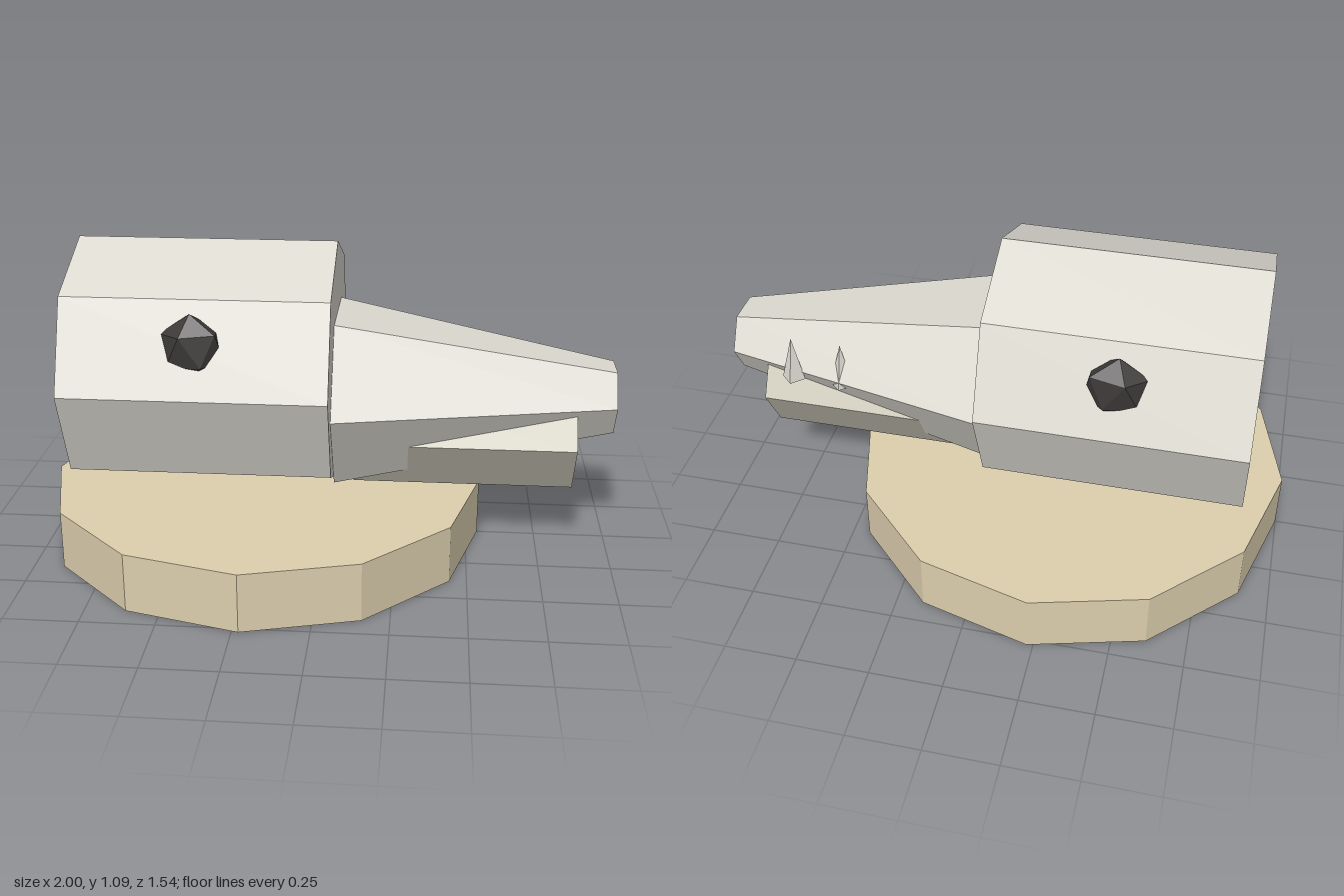
import * as THREE from 'three';

const material = (color) => new THREE.MeshStandardMaterial({ color, flatShading: true });

export function createModel() {
  const model = new THREE.Group();
  const bone = material(0xdcd9d0);
  const jawBone = material(0xc6c3b3);
  const dark = material(0x3c3838);

  function add(name, geometry, mat, x, y, z) {
    const mesh = new THREE.Mesh(geometry, mat);
    mesh.name = name;
    mesh.position.set(x, y, z);
    model.add(mesh);
    return mesh;
  }

  // Prism or frustum lying along x, from x0 (radius r0) to x1 (radius r1)
  function addPrism(name, mat, x0, x1, r0, r1, y, sides) {
    const geometry = new THREE.CylinderGeometry(r1, r0, x1 - x0, sides).rotateZ(-Math.PI / 2);
    return add(name, geometry, mat, (x0 + x1) / 2, y, 0);
  }

  // Twelve-sided plinth
  add('base', new THREE.CylinderGeometry(0.772, 0.772, 0.205, 12), material(0xdccfae), -0.228, 0.1025, 0);

  // Head, tapering snout and lower jaw
  addPrism('head', bone, -0.87, 0.03, 0.438, 0.438, 0.647, 8);
  addPrism('snout', bone, 0.03, 1, 0.335, 0.128, 0.545, 6);
  addPrism('lowerJaw', jawBone, 0.095, 0.865, 0.205, 0.205, 0.415, 6);

  // Faceted, flattened eyes, one on each side
  for (const side of [-1, 1]) {
    const geometry = new THREE.IcosahedronGeometry(0.117, 0).rotateZ(0.6);
    const eye = add('eye', geometry, dark, -0.423, 0.802, side * 0.347);
    eye.scale.z = 0.6;
  }

  // Pointed teeth standing along the back side of the snout
  for (const x of [0.57, 0.75]) {
    const tooth = add('tooth', new THREE.ConeGeometry(0.042, 0.165, 4), bone, x, 0.598, -0.182);
    tooth.rotation.x = 0.05;
  }

  return model;
}
